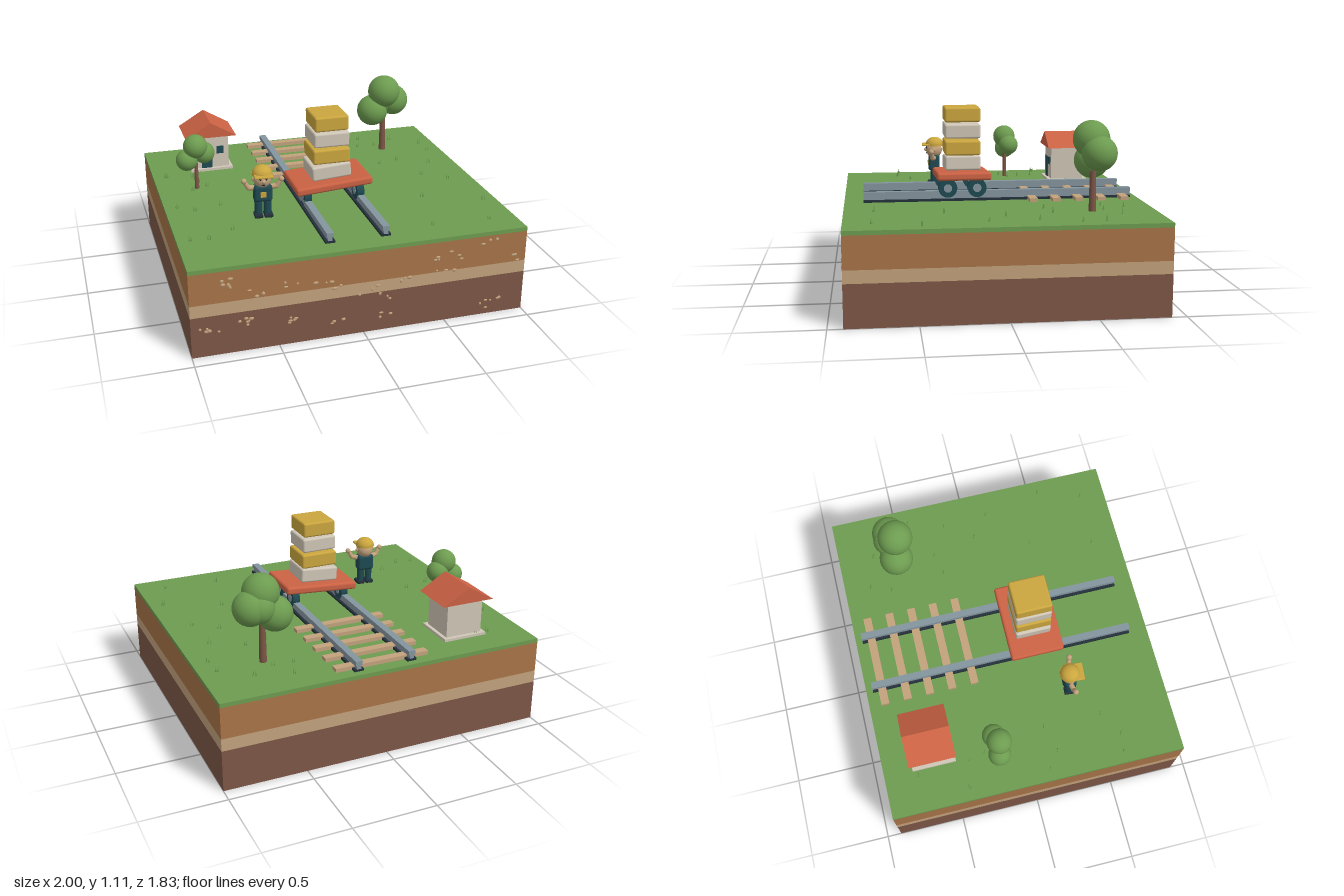
import * as THREE from 'three';
import { RoundedBoxGeometry } from 'three/addons/geometries/RoundedBoxGeometry.js';

const mat = (name, color) => {
  const m = new THREE.MeshStandardMaterial({ color });
  m.name = name;
  return m;
};

export function createModel() {
  const green = mat('leaf green', 0x6d9c50), clay = mat('clay brown', 0xa87448);
  const tan = mat('tan', 0xc2a27c), soil = mat('dark soil', 0x7d5646);
  const red = mat('brick red', 0xcb6244), gold = mat('gold', 0xcba63f);
  const beige = mat('beige', 0xcfc6b6), steel = mat('steel', 0x84959e);
  const teal = mat('dark teal', 0x1f4a52), dark = mat('charcoal', 0x24303a);

  const root = new THREE.Group();
  root.name = 'railwayDiorama';
  const group = (name, x = 0, y = 0, z = 0, parent = root) => {
    const g = new THREE.Group();
    g.name = name;
    g.position.set(x, y, z);
    parent.add(g);
    return g;
  };
  const add = (parent, name, geo, m, x = 0, y = 0, z = 0) => {
    const mesh = new THREE.Mesh(geo, m);
    mesh.name = name;
    mesh.position.set(x, y, z);
    parent.add(mesh);
    return mesh;
  };
  const box = (w, h, d) => new THREE.BoxGeometry(w, h, d);
  const rbox = (w, h, d, r) => new RoundedBoxGeometry(w, h, d, 3, r);
  const ball = (r) => new THREE.SphereGeometry(r, 28, 20);
  const cyl = (r1, r2, h, n = 24) => new THREE.CylinderGeometry(r1, r2, h, n);
  // cylinder running between two points
  const rod = (parent, name, m, a, b, r1, r2) => {
    const p = new THREE.Vector3(...a), q = new THREE.Vector3(...b);
    const d = q.clone().sub(p);
    const mesh = add(parent, name, cyl(r2, r1, d.length(), 16), m);
    mesh.position.copy(p).add(q).multiplyScalar(0.5);
    mesh.quaternion.setFromUnitVectors(new THREE.Vector3(0, 1, 0), d.normalize());
  };
  let seed = 17;
  const rand = (a, b) => {
    seed = (seed * 16807) % 2147483647;
    return a + (b - a) * (seed / 2147483647);
  };

  // Layered ground block
  const G = 0.54;
  const ground = group('ground');
  [['deepSoil', 0, 0.25, soil], ['sandLayer', 0.25, 0.325, tan],
    ['clayLayer', 0.325, 0.515, clay], ['grassLayer', 0.515, G, green]]
    .forEach(([n, a, b, m]) => add(ground, n, box(2, b - a, 1.824), m, 0, (a + b) / 2, 0));

  // Pebbles set in the front face, loosely clustered
  const pebbles = group('pebbles');
  const pebbleGeo = new THREE.IcosahedronGeometry(1, 1);
  for (let c = 0; c < 24; c++) {
    const cx = rand(-0.95, 0.95), cy = rand(0.06, 0.46);
    for (let i = 0; i < 3; i++) {
      const x = THREE.MathUtils.clamp(cx + rand(-0.06, 0.06), -0.97, 0.97);
      const p = add(pebbles, 'pebble', pebbleGeo, tan, x, cy + rand(-0.03, 0.03), 0.911);
      p.scale.set(rand(0.007, 0.016), rand(0.006, 0.012), 0.007);
    }
  }

  // Grass blades in tufts beside the track
  const blades = group('grassBlades');
  const bladeGeo = new THREE.ConeGeometry(0.004, 1, 4);
  for (let i = 0; i < 30; i++) {
    const x = i % 2 ? rand(0.38, 0.97) : rand(-0.96, -0.66), z = rand(-0.85, 0.85);
    for (let k = 0; k < 2; k++) {
      const h = rand(0.025, 0.045);
      const b = add(blades, 'grassBlade', bladeGeo, green, x + k * 0.012, G + h / 2, z + k * 0.006);
      b.scale.y = h;
      b.rotation.z = rand(-0.2, 0.2);
    }
  }

  // Track: sleepers and two rails
  const track = group('track');
  [-0.81, -0.667, -0.525, -0.383, -0.24].forEach((z) =>
    add(track, 'sleeper', box(0.585, 0.024, 0.05), tan, 0, G + 0.012, z));
  [-0.168, 0.166].forEach((x) => {
    const rail = group('rail', x, G, -0.037, track);
    add(rail, 'railBase', box(0.058, 0.014, 1.665), dark, 0, 0.007);
    add(rail, 'railWeb', box(0.026, 0.026, 1.665), steel, 0, 0.025);
    add(rail, 'railHead', box(0.042, 0.026, 1.665), steel, 0, 0.049);
  });

  // Cart with a slightly tilted deck
  const cart = group('cart', 0, 0, 0.18);
  const deck = add(cart, 'deck', rbox(0.48, 0.05, 0.335, 0.016), red, 0, 0.68, 0);
  deck.rotation.z = 0.07;
  for (const x of [-0.166, 0.166]) for (const z of [-0.083, 0.098]) {
    const wheel = group('wheel', x, 0.618, z, cart);
    add(wheel, 'tyre', cyl(0.058, 0.058, 0.045, 32), teal).rotation.z = Math.PI / 2;
    add(wheel, 'hub', cyl(0.026, 0.026, 0.053), steel).rotation.z = Math.PI / 2;
  }

  // Stacked crates
  [[0.245, 0.09, 0.755, 0.07, beige], [0.232, 0.092, 0.855, 0, gold],
    [0.22, 0.09, 0.96, -0.01, beige], [0.21, 0.092, 1.061, 0, gold]]
    .forEach(([w, h, y, tilt, m]) => {
      const c = add(cart, 'crate', rbox(w, h, 0.222, 0.013), m, -0.004, y, -0.003);
      c.rotation.z = tilt;
    });

  // House
  const house = group('house', -0.605, G, -0.6);
  add(house, 'plinth', box(0.28, 0.016, 0.27), beige, 0, 0.008, 0);
  add(house, 'walls', box(0.235, 0.23, 0.22), beige, 0, 0.125, 0);
  const gable = new THREE.Shape([[-0.168, 0], [0.168, 0], [0, 0.1]].map(([x, y]) => new THREE.Vector2(x, y)));
  add(house, 'roof', new THREE.ExtrudeGeometry(gable, { depth: 0.285, bevelEnabled: false }),
    red, 0, 0.233, -0.147);
  add(house, 'door', box(0.07, 0.14, 0.008), teal, -0.03, 0.085, 0.113);
  add(house, 'window', box(0.045, 0.05, 0.008), teal, 0.06, 0.135, 0.113);

  // Round-crowned trees: trunk plus [x, y, z, radius] crowns
  const tree = (name, x, z, trunkH, r, crowns) => {
    const t = group(name, x, G, z);
    add(t, 'trunk', cyl(r * 0.75, r, trunkH, 16), soil, 0, trunkH / 2);
    crowns.forEach(([cx, cy, cz, cr]) => add(t, 'crown', ball(cr), green, cx, cy, cz));
  };
  tree('largeTree', 0.612, -0.533, 0.36, 0.022, [[0, 0.425, 0.012, 0.108],
    [-0.075, 0.29, -0.008, 0.104], [0.075, 0.35, -0.02, 0.103], [0.03, 0.35, -0.03, 0.095]]);
  tree('smallTree', -0.753, -0.2, 0.25, 0.014, [[0, 0.285, 0.004, 0.076],
    [-0.056, 0.195, -0.006, 0.068], [0.056, 0.23, -0.018, 0.068]]);

  // Standing figure with raised arms
  const figure = group('figure', -0.445, G, 0.322);
  figure.rotation.y = -0.08;
  for (const s of [-1, 1]) {
    add(figure, 'boot', rbox(0.052, 0.024, 0.075, 0.008), dark, s * 0.03, 0.012, 0.008);
    add(figure, 'leg', cyl(0.025, 0.023, 0.1), teal, s * 0.027, 0.07, 0);
    const elbow = [s * 0.085, 0.19, 0.01], hand = [s * 0.112, 0.235, 0.015];
    rod(figure, 'upperArm', tan, [s * 0.045, 0.185, 0], elbow, 0.017, 0.015);
    rod(figure, 'forearm', tan, elbow, hand, 0.015, 0.012);
    add(figure, 'elbow', ball(0.015), tan, ...elbow);
    add(figure, 'hand', ball(0.017), tan, ...hand);
    add(figure, 'eye', ball(0.007), dark, s * 0.018, 0.252, 0.048);
    add(figure, 'ear', ball(0.012), tan, s * 0.052, 0.24, 0);
  }
  add(figure, 'torso', rbox(0.112, 0.105, 0.075, 0.02), teal, 0, 0.152, 0);
  add(figure, 'chestPatch', box(0.034, 0.034, 0.008), gold, 0, 0.15, 0.038);
  add(figure, 'head', ball(0.054), tan, 0, 0.238, 0);
  add(figure, 'nose', ball(0.011), tan, 0, 0.238, 0.055);
  add(figure, 'mouth', ball(0.009), dark, 0, 0.217, 0.046).scale.set(1.2, 0.9, 0.7);
  add(figure, 'helmet', new THREE.SphereGeometry(0.06, 28, 12, 0, Math.PI * 2, 0, Math.PI / 2),
    gold, 0, 0.272, -0.004).scale.y = 0.85;
  add(figure, 'helmetRim', cyl(0.061, 0.061, 0.012, 28), gold, 0, 0.272, -0.004);
  add(figure, 'visor', rbox(0.11, 0.012, 0.06, 0.005), gold, 0, 0.272, 0.05);

  return root;
}
